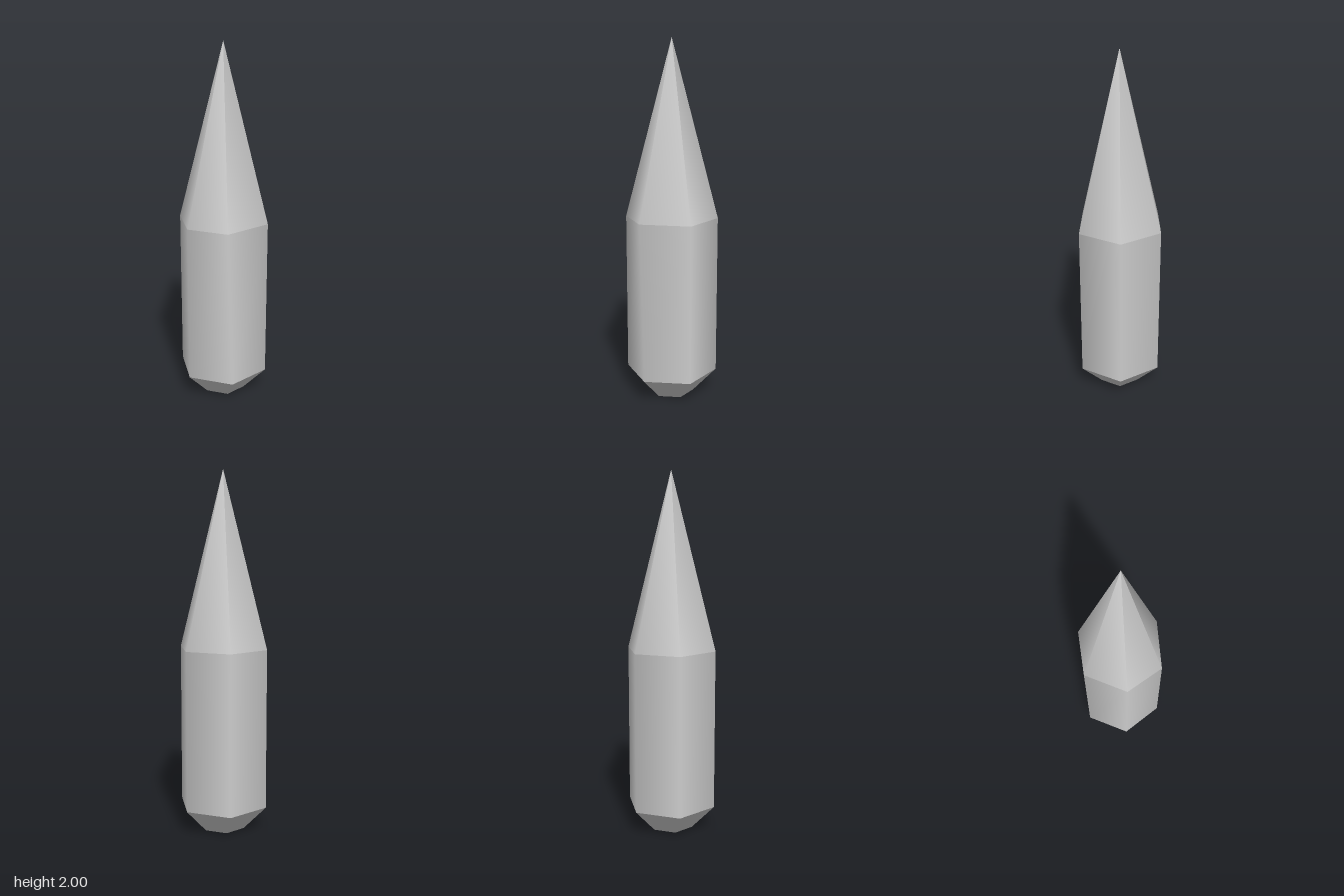
import * as THREE from 'three';

const SIDES = 6;
const RADIUS = 0.256;
const BASE_Y = 0.137;
const SHOULDER_Y = 1.03;
const TOP_Y = 2;

// Six-sided frustum with corners on the x axis
function hexSection(name, topR, bottomR, y0, y1, flat, open) {
  const geometry = new THREE.CylinderGeometry(topR, bottomR, y1 - y0, SIDES, 1, open, Math.PI / 2);
  geometry.translate(0, (y0 + y1) / 2, 0);
  const material = new THREE.MeshStandardMaterial({ color: 0xcccccc, flatShading: flat });
  const mesh = new THREE.Mesh(geometry, material);
  mesh.name = name;
  return mesh;
}

// The front right shoulder corner is turned slightly round the axis
function skewShoulder(mesh) {
  const p = mesh.geometry.attributes.position;
  for (let i = 0; i < p.count; i++) {
    const onShoulder = Math.abs(p.getY(i) - SHOULDER_Y) < 0.001;
    if (onShoulder && p.getX(i) < -0.1 && p.getZ(i) > 0.1) p.setXYZ(i, -0.15, SHOULDER_Y, 0.206);
  }
  return mesh;
}

export function createModel() {
  const model = new THREE.Group();
  model.name = 'pointedHexagonalShaft';
  model.add(
    // Chamfered foot, flat faces, closed underneath
    hexSection('foot', RADIUS, 0.125, 0, BASE_Y, true, false),
    // Straight shaft and long point, smooth normals
    skewShoulder(hexSection('shaft', RADIUS, RADIUS, BASE_Y, SHOULDER_Y, false, true)),
    skewShoulder(hexSection('point', 0, RADIUS, SHOULDER_Y, TOP_Y, false, true)),
  );
  return model;
}
